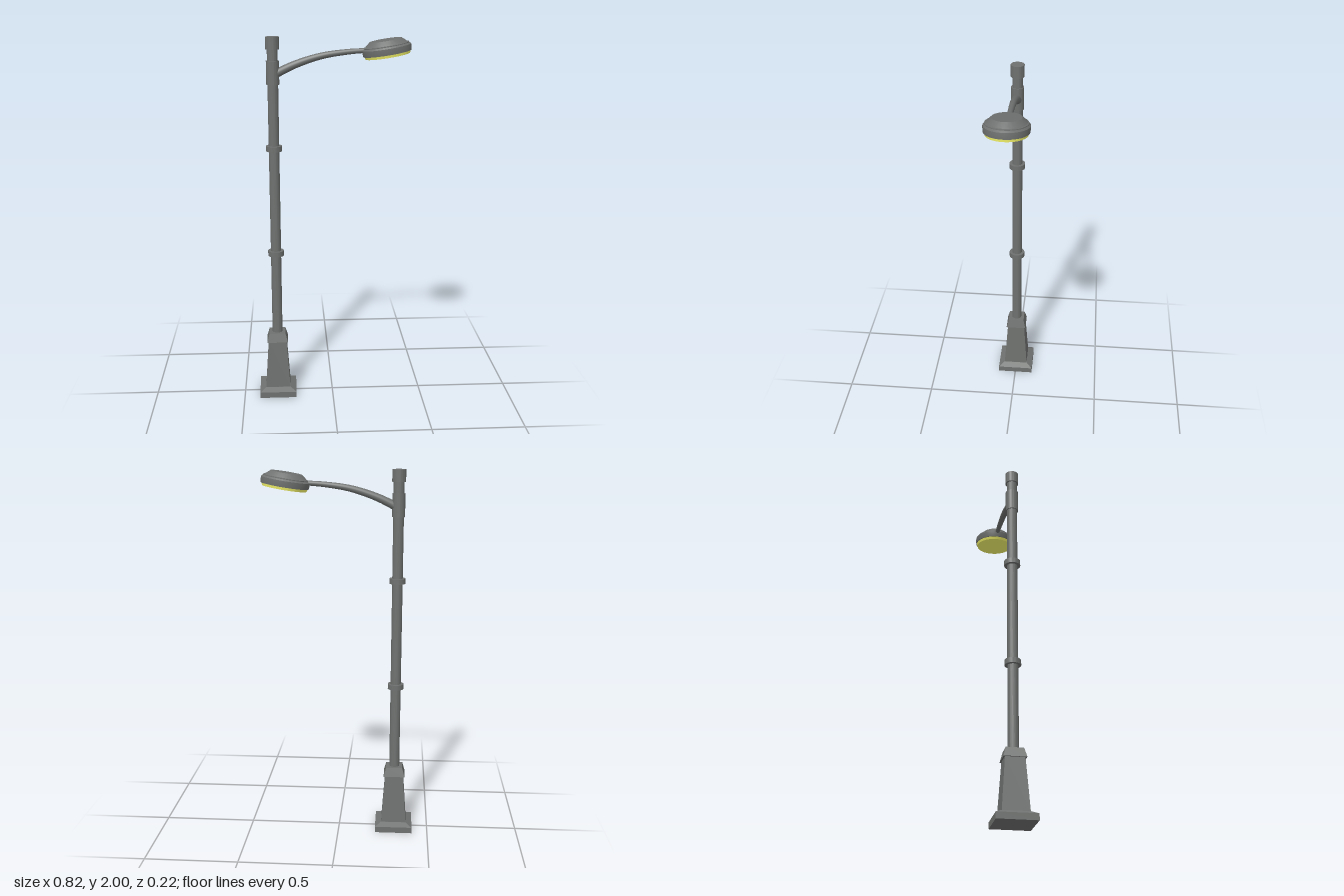
import * as THREE from 'three';
import { toCreasedNormals } from 'three/addons/utils/BufferGeometryUtils.js';

const POLE_X = -0.31;
const metal = new THREE.MeshStandardMaterial({ color: 0x6e716f });
const glass = new THREE.MeshStandardMaterial({ color: 0xffff70 });

// Lathe with crisp edges from [radius, y] pairs, listed bottom to top
function turned(name, profile, material = metal, segments = 40) {
  const points = profile.map(([r, y]) => new THREE.Vector2(r, y));
  const geometry = toCreasedNormals(new THREE.LatheGeometry(points, segments), 0.4);
  const mesh = new THREE.Mesh(geometry, material);
  mesh.name = name;
  return mesh;
}

// Four-sided stack from [half width, y] pairs
function squareStack(name, profile) {
  const points = profile.map(([w, y]) => new THREE.Vector2(w * Math.SQRT2, y));
  const geometry = toCreasedNormals(new THREE.LatheGeometry(points, 4, Math.PI / 4), 0.1);
  const mesh = new THREE.Mesh(geometry, metal);
  mesh.name = name;
  return mesh;
}

// Closed cylinder band around the pole
const band = (name, r, y0, y1) => turned(name, [[0, y0], [r, y0], [r, y1], [0, y1]]);

// Tube whose radius shrinks along its curve
function taperedTube(curve, r0, r1, steps = 32, sides = 20) {
  const geometry = new THREE.TubeGeometry(curve, steps, 1, sides);
  const pos = geometry.attributes.position;
  const v = new THREE.Vector3();
  for (let i = 0; i < pos.count; i++) {
    const t = Math.floor(i / (sides + 1)) / steps;
    const centre = curve.getPointAt(t);
    v.fromBufferAttribute(pos, i).sub(centre)
      .multiplyScalar(THREE.MathUtils.lerp(r0, r1, t)).add(centre);
    pos.setXYZ(i, v.x, v.y, v.z);
  }
  return geometry;
}

export function createModel() {
  const model = new THREE.Group();
  model.name = 'streetLamp';

  // Square pedestal and round post
  const post = new THREE.Group();
  post.name = 'post';
  post.position.x = POLE_X;
  post.add(
    squareStack('plinth', [[0, 0], [0.1025, 0], [0.1025, 0.033], [0.07, 0.05], [0, 0.05]]),
    squareStack('pedestal', [[0.069, 0.045], [0.05, 0.32]]),
    squareStack('pedestalCap', [[0, 0.318], [0.058, 0.318], [0.045, 0.367], [0, 0.367]]),
    band('pole', 0.028, 0.36, 1.95),
    band('lowerRing', 0.043, 0.818, 0.846),
    band('upperRing', 0.043, 1.403, 1.431),
    band('armSleeve', 0.034, 1.755, 1.878),
    band('topCap', 0.036, 1.936, 2)
  );
  model.add(post);

  // Curved arm, thick at the post and thin at the lamp
  const curve = new THREE.CatmullRomCurve3([
    new THREE.Vector3(-0.315, 1.8, 0),
    new THREE.Vector3(-0.2, 1.855, 0),
    new THREE.Vector3(-0.06, 1.9, 0),
    new THREE.Vector3(0.08, 1.921, 0),
    new THREE.Vector3(0.2, 1.929, 0)
  ]);
  const arm = new THREE.Mesh(taperedTube(curve, 0.023, 0.012), metal);
  arm.name = 'arm';
  model.add(arm);

  // Tilted oval lamp head
  const head = new THREE.Group();
  head.name = 'lampHead';
  head.position.set(0.289, 1.899, 0);
  head.rotation.z = 0.163;
  head.scale.x = 1.15;
  head.add(
    turned('lens', [[0, 0], [0.102, 0], [0.107, 0.016]], glass, 56),
    turned('housing', [
      [0, 0.014], [0.11, 0.014], [0.112, 0.03], [0.112, 0.046], [0.104, 0.054],
      [0.104, 0.058], [0.097, 0.06], [0.09, 0.067], [0.073, 0.083], [0, 0.083]
    ], metal, 56)
  );
  model.add(head);

  return model;
}
